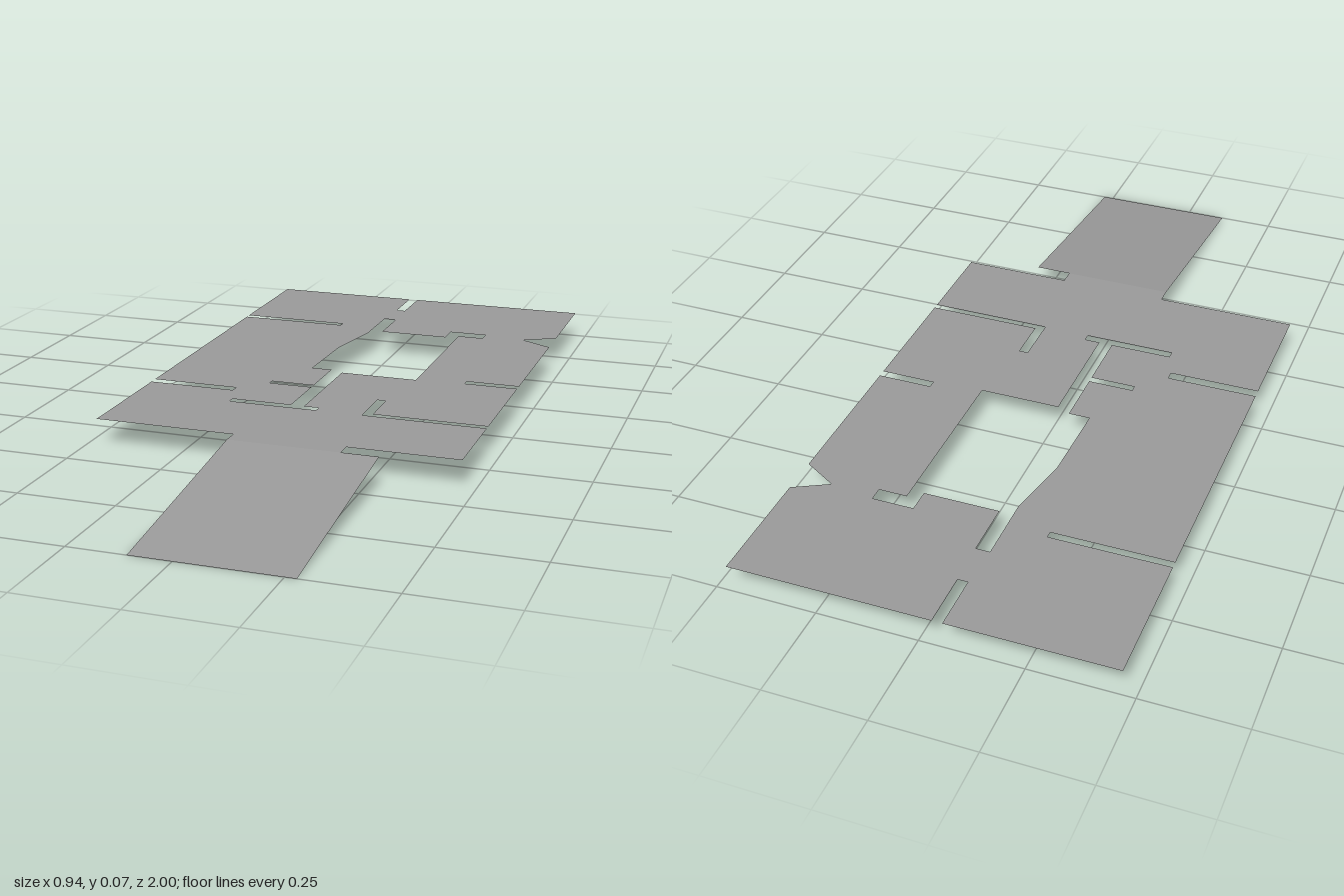
import * as THREE from 'three';

const DECK_Y = 0.07;

// Points are given as [x, z] on the ground plan
const plan = (pts) => pts.map(([x, z]) => new THREE.Vector2(x, -z));

export function createModel() {
  const group = new THREE.Group();
  const grey = new THREE.MeshStandardMaterial({ color: 0x999999, side: THREE.DoubleSide });
  grey.name = 'grey';

  const L = -0.47, R = 0.467;

  // Outer edge with its slots, clockwise from the back left corner
  const outline = new THREE.Shape(plan([
    [L, -1], [-0.06, -1], [-0.06, -0.86], [-0.035, -0.86], [-0.035, -1], [R, -1],
    [R, -0.70], [0.38, -0.655], [R, -0.605],                                // wedge notch
    [R, -0.21], [0.325, -0.21], [0.325, -0.19], [R, -0.19],                 // short slot
    [R, 0.135], [0.17, 0.135], [0.17, 0.02], [0.147, 0.02], [0.147, 0.15], [R, 0.15], // hooked slot
    [R, 0.39], [0.183, 0.39], [0.183, 0.43], [-0.105, 0.43], [-0.105, 0.39], [L, 0.39], // neck to ramp
    [L, 0.06], [-0.237, 0.06], [-0.237, 0.037], [L, 0.037],                 // left slots
    [L, -0.64], [-0.17, -0.64], [-0.17, -0.657], [L, -0.657],
  ]));

  // Central opening with the narrow channels running off it
  outline.holes.push(new THREE.Path(plan([
    [-0.067, -0.75], [-0.032, -0.75], [-0.032, -0.61], [0.16, -0.61], [0.16, -0.67],
    [0.265, -0.67], [0.265, -0.635], [0.193, -0.635], [0.193, -0.18], [-0.015, -0.18],
    [-0.015, 0.13], [0.025, 0.13], [0.025, 0.15], [-0.21, 0.15], [-0.21, 0.13],
    [-0.05, 0.13], [-0.05, -0.03], [-0.167, -0.03], [-0.167, -0.047], [-0.05, -0.047],
    [-0.05, -0.197], [-0.105, -0.197], [-0.1, -0.41], [-0.067, -0.58],
  ])));

  const deck = new THREE.Mesh(new THREE.ShapeGeometry(outline).rotateX(-Math.PI / 2), grey);
  deck.name = 'floorDeck';
  deck.position.y = DECK_Y;
  group.add(deck);

  // Ramp sloping from the deck to the ground at the front
  const x0 = -0.105, x1 = 0.277, z0 = 0.43, z1 = 1;
  const rampGeo = new THREE.PlaneGeometry(x1 - x0, z1 - z0).rotateX(-Math.PI / 2);
  rampGeo.translate((x0 + x1) / 2, 0, (z0 + z1) / 2);
  const pos = rampGeo.attributes.position;
  for (let i = 0; i < pos.count; i++) {
    pos.setY(i, DECK_Y * (z1 - pos.getZ(i)) / (z1 - z0));
  }
  rampGeo.computeVertexNormals();
  const ramp = new THREE.Mesh(rampGeo, grey);
  ramp.name = 'entryRamp';
  group.add(ramp);

  return group;
}
